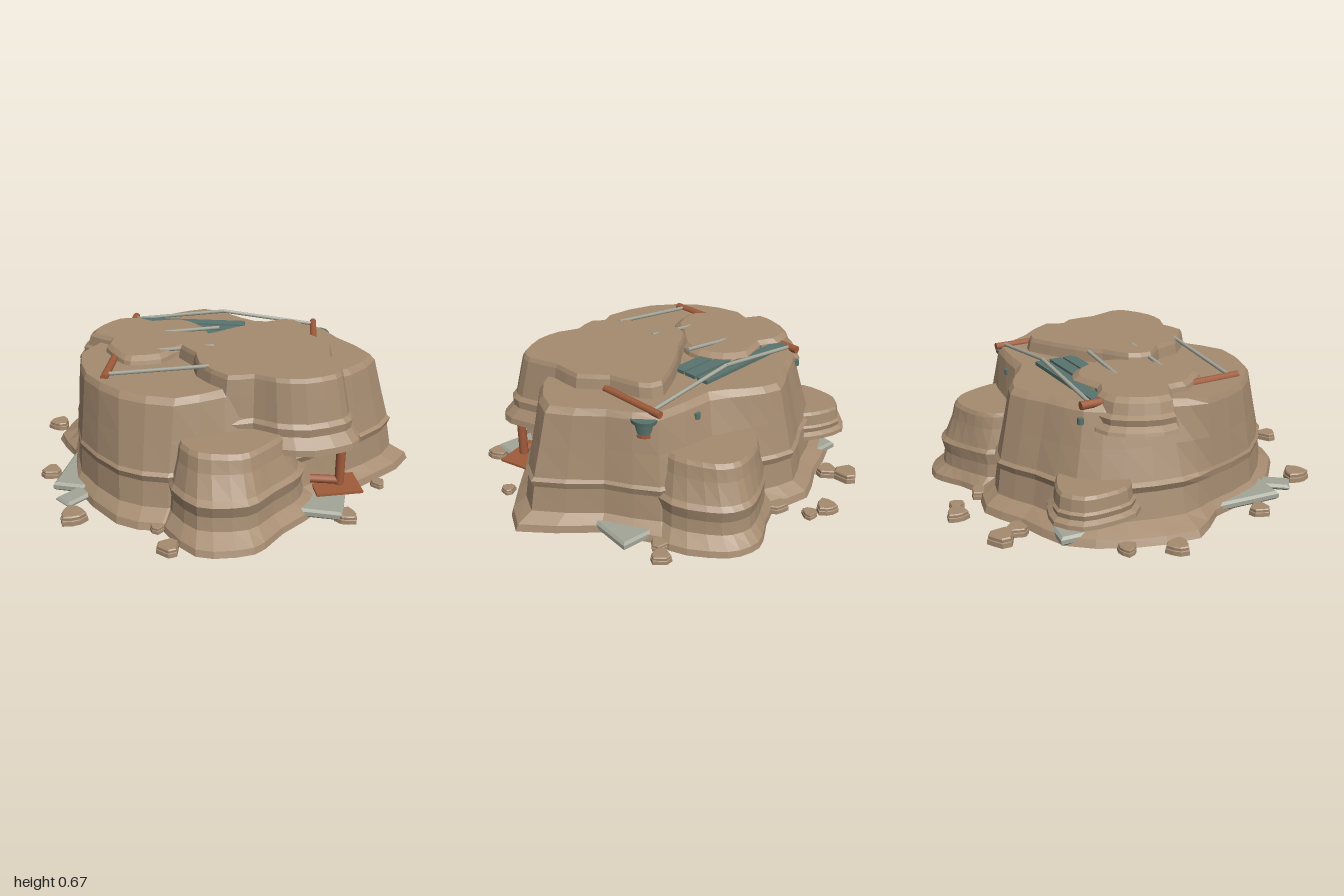
import * as THREE from 'three';

const mat = (name, color, extra = {}) => Object.assign(new THREE.MeshStandardMaterial({ color, ...extra }), { name });

// Closed outline through [x, z] control points, listed clockwise as seen from above
function outline(points, perPoint) {
  const curve = new THREE.CatmullRomCurve3(points.map(([x, z]) => new THREE.Vector3(x, 0, z)), true, 'catmullrom', 0.4);
  const n = points.length * perPoint;
  return Array.from({ length: n }, (_, i) => { const p = curve.getPoint(i / n); return [p.x, p.z]; });
}

const scaled = (points, cx, cz, s) => points.map(([x, z]) => [cx + (x - cx) * s, cz + (z - cz) * s]);

// Rock layer: blends from the base outline (t = 1) to the top outline (t = 0) along [t, y] steps
function terrace(top, base, steps, perPoint, closedBelow) {
  const a = outline(top, perPoint), b = outline(base, perPoint), n = a.length;
  const pos = [], idx = [];
  for (const [t, y] of steps)
    for (let i = 0; i < n; i++)
      pos.push(a[i][0] + (b[i][0] - a[i][0]) * t, y, a[i][1] + (b[i][1] - a[i][1]) * t);
  for (let k = 0; k < steps.length - 1; k++)
    for (let i = 0; i < n; i++) {
      const j = (i + 1) % n, l = k * n, u = l + n;
      idx.push(l + i, u + i, u + j, l + i, u + j, l + j);
    }
  // Flat caps
  const cap = (ring, up) => {
    const pts = Array.from({ length: n }, (_, i) => new THREE.Vector2(pos[(ring * n + i) * 3], pos[(ring * n + i) * 3 + 2]));
    for (const [p, q, r] of THREE.ShapeUtils.triangulateShape(pts, [])) {
      const area = (pts[q].x - pts[p].x) * (pts[r].y - pts[p].y) - (pts[q].y - pts[p].y) * (pts[r].x - pts[p].x);
      const o = ring * n;
      if ((area < 0) === up) idx.push(o + p, o + q, o + r); else idx.push(o + p, o + r, o + q);
    }
  };
  cap(steps.length - 1, true);
  if (closedBelow) cap(0, false);
  const g = new THREE.BufferGeometry();
  g.setAttribute('position', new THREE.Float32BufferAttribute(pos, 3));
  g.setIndex(idx);
  g.computeVertexNormals();
  return g;
}

export function createModel() {
  const model = new THREE.Group();
  const rock = mat('sandstone', 0xa58b70, { flatShading: true, side: THREE.DoubleSide });
  const concrete = mat('concrete', 0xa4a699);
  const rust = mat('rustedMetal', 0xa05c3b);
  const teal = mat('tealPaint', 0x5a746e);

  const add = (name, geometry, material, x = 0, y = 0, z = 0, ry = 0) => {
    const m = new THREE.Mesh(geometry, material);
    m.name = name;
    m.position.set(x, y, z);
    m.rotation.y = ry;
    model.add(m);
    return m;
  };
  const rod = (name, from, to, r, material, sides = 10) => {
    const a = new THREE.Vector3(...from), b = new THREE.Vector3(...to), d = b.clone().sub(a);
    const m = add(name, new THREE.CylinderGeometry(r, r, d.length(), sides), material);
    m.position.copy(a).add(b).multiplyScalar(0.5);
    m.quaternion.setFromUnitVectors(new THREE.Vector3(0, 1, 0), d.normalize());
    return m;
  };

  // Main mesa
  const cliff = [[1, 0], [0.94, 0.035], [0.6, 0.075], [0.5, 0.2], [0.56, 0.235], [0.48, 0.25], [0.3, 0.4], [0.12, 0.56], [0, 0.59]];
  add('mainMesa', terrace(
    [[-0.5, -0.42], [-0.33, -0.52], [-0.15, -0.62], [0, -0.55], [0.15, -0.45], [0.46, -0.43], [0.6, -0.24], [0.76, -0.03], [0.64, 0.17],
      [0.45, 0.28], [0.3, 0.36], [0.06, 0.46], [-0.15, 0.58], [-0.42, 0.52], [-0.62, 0.34], [-0.7, 0.1], [-0.62, -0.08], [-0.58, -0.27]],
    [[-0.66, -0.62], [-0.4, -0.72], [-0.2, -0.82], [0.02, -0.76], [0.3, -0.7], [0.58, -0.58], [0.72, -0.31], [1, -0.02], [0.82, 0.22],
      [0.62, 0.41], [0.47, 0.56], [0.1, 0.7], [-0.2, 0.78], [-0.42, 0.74], [-0.69, 0.45], [-0.77, 0.13], [-0.9, -0.05], [-0.82, -0.38]],
    cliff, 2, false), rock);

  // Lower shoulders at front and back
  const shoulder = [[1, 0], [0.95, 0.03], [0.58, 0.075], [0.52, 0.14], [0.6, 0.2], [0.46, 0.22], [0.2, 0.32], [0.1, 0.38], [0, 0.4]];
  add('frontShoulder', terrace(
    [[-0.13, 0.6], [0.02, 0.4], [0.27, 0.4], [0.33, 0.52], [0.25, 0.65], [0.16, 0.73], [-0.03, 0.73]],
    [[-0.22, 0.7], [0, 0.4], [0.52, 0.42], [0.5, 0.58], [0.36, 0.75], [0.24, 0.92], [-0.02, 0.96]],
    shoulder, 3, false), rock);
  add('backShoulder', terrace(
    [[0.02, -0.61], [0.1, -0.72], [0.27, -0.76], [0.37, -0.7], [0.44, -0.52], [0.4, -0.36], [0.12, -0.4]],
    [[-0.03, -0.72], [0.12, -0.82], [0.28, -0.91], [0.44, -0.86], [0.59, -0.63], [0.5, -0.3], [0.1, -0.38]],
    shoulder, 3, false), rock);

  // Caprocks that rise above the mesa top
  const high = [[0.08, -0.17], [0.32, -0.31], [0.41, -0.25], [0.45, -0.1], [0.55, 0.02], [0.55, 0.17], [0.6, 0.32], [0.57, 0.4],
    [0.43, 0.47], [0.3, 0.47], [0.2, 0.43], [0.08, 0.46], [-0.07, 0.32], [-0.1, 0.2], [-0.18, 0.11], [-0.15, 0], [-0.03, -0.08]];
  add('highCaprock', terrace(high, scaled(high, 0.2, 0.12, 1.28),
    [[1, 0.31], [0.95, 0.34], [0.6, 0.39], [0.62, 0.43], [0.45, 0.45], [0.25, 0.56], [0.1, 0.64], [0, 0.66]], 2, true), rock);
  const low = [[-0.65, -0.21], [-0.58, -0.31], [-0.48, -0.33], [-0.4, -0.29], [-0.26, -0.33], [-0.16, -0.27], [-0.11, -0.16], [-0.13, -0.05],
    [-0.24, 0.08], [-0.29, 0.16], [-0.42, 0.2], [-0.48, 0.16], [-0.56, 0.05], [-0.56, -0.03], [-0.67, -0.09]];
  add('lowCaprock', terrace(low, scaled(low, -0.4, -0.08, 1.36),
    [[1, 0.48], [0.95, 0.495], [0.65, 0.515], [0.7, 0.545], [0.45, 0.56], [0.3, 0.61], [0, 0.63]], 2, true), rock);

  // Stepped ledge on the back corner
  const ledge = Array.from({ length: 10 }, (_, i) => {
    const a = i / 10 * Math.PI * 2, r = 0.165 + 0.015 * Math.cos(3 * a);
    return [-0.61 + r * Math.cos(a), -0.46 + r * Math.sin(a)];
  });
  add('backLedge', terrace(ledge, scaled(ledge, -0.61, -0.46, 1.32),
    [[1, 0.13], [0.95, 0.15], [0.5, 0.165], [0.6, 0.19], [0.35, 0.2], [0.2, 0.255], [0, 0.27]], 2, true), rock);

  // Loose stones around the foot: x, z, radius
  const stones = [[-0.18, -0.95, 0.05], [-0.085, -0.92, 0.036], [-0.49, -0.85, 0.058], [-0.45, -0.76, 0.05], [-0.02, -0.77, 0.05],
    [-0.84, -0.4, 0.042], [-0.94, -0.2, 0.052], [0.66, -0.65, 0.045], [0.6, -0.58, 0.042], [0.825, 0.28, 0.034],
    [0.655, 0.6, 0.05], [-0.63, 0.725, 0.06], [-0.22, 0.765, 0.04], [-0.145, 0.93, 0.05], [-0.84, 0.33, 0.048]];
  stones.forEach(([x, z, r], k) => {
    const rim = Array.from({ length: 9 }, (_, i) => {
      const a = i / 9 * Math.PI * 2, q = r * (0.86 + 0.14 * Math.cos(3 * a + k * 1.7));
      return [q * Math.cos(a), q * Math.sin(a)];
    });
    add('looseStone', terrace(rim, scaled(rim, 0, 0, 1.22),
      [[1, 0], [0.9, 0.4 * r], [0.4, 0.45 * r], [0.5, 0.7 * r], [0, 0.8 * r]], 1, true), rock, x, 0, z);
  });

  // Buried foundation slab and a broken paving piece
  const slab = (w, d, h) => {
    const b = 0.012, s = new THREE.Shape();
    s.moveTo(-w / 2 + b, -d / 2 + b).lineTo(w / 2 - b, -d / 2 + b).lineTo(w / 2 - b, d / 2 - b).lineTo(-w / 2 + b, d / 2 - b);
    return new THREE.ExtrudeGeometry(s, { depth: h - 2 * b, bevelSize: b, bevelThickness: b, bevelSegments: 1 })
      .rotateX(-Math.PI / 2).translate(0, b, 0);
  };
  add('foundationSlab', slab(1.43, 1.14, 0.045), concrete, -0.02, 0.006, -0.005, -0.1);
  add('brokenPaving', slab(0.16, 0.1, 0.03), concrete, -0.66, 0.008, 0.56, 0.9);

  // Rusted plate with bent pipe at the foot of the cliff
  add('rustPlate', new THREE.BoxGeometry(0.23, 0.012, 0.18), rust, 0.605, 0.068, 0.4, 0.25);
  rod('pipePost', [0.622, 0.085, 0.415], [0.622, 0.262, 0.415], 0.023, rust, 12);
  rod('pipeFoot', [0.48, 0.105, 0.415], [0.622, 0.105, 0.415], 0.021, rust, 12);

  // Roof frame: two beams, with rafters that rise from the left one
  rod('leftBeam', [-0.52, 0.592, -0.46], [-0.52, 0.592, 0.4], 0.02, rust);
  rod('rightBeam', [0.475, 0.595, -0.46], [0.475, 0.595, -0.09], 0.018, rust);
  for (const z of [-0.41, -0.155, 0.1, 0.355]) rod('rafter', [-0.52, 0.595, z], [-0.02, 0.657, z], 0.01, concrete, 8);
  rod('backRafter', [-0.02, 0.657, -0.41], [0.475, 0.6, -0.41], 0.01, concrete, 8);
  for (const z of [-0.365, -0.285, -0.21])
    add('roofPlank', new THREE.BoxGeometry(0.62, 0.02, 0.064), teal, -0.21, 0.598, z);

  // Bucket hung beneath the right beam, and wall pegs
  const bucket = add('bucket', new THREE.CylinderGeometry(0.056, 0.05, 0.06, 16), teal, 0.5, 0.52, -0.38);
  const rim = add('bucketRim', new THREE.CylinderGeometry(0.07, 0.066, 0.02, 16), teal, 0.5, 0.555, -0.38);
  const foot = add('bucketBase', new THREE.CylinderGeometry(0.054, 0.054, 0.014, 16), rust, 0.5, 0.485, -0.38);
  for (const part of [bucket, rim, foot]) part.scale.x = 0.9;
  for (const [x, z] of [[-0.52, -0.46], [0.26, -0.485]]) rod('wallPeg', [x, 0.505, z], [x, 0.535, z], 0.016, teal);

  return model;
}
